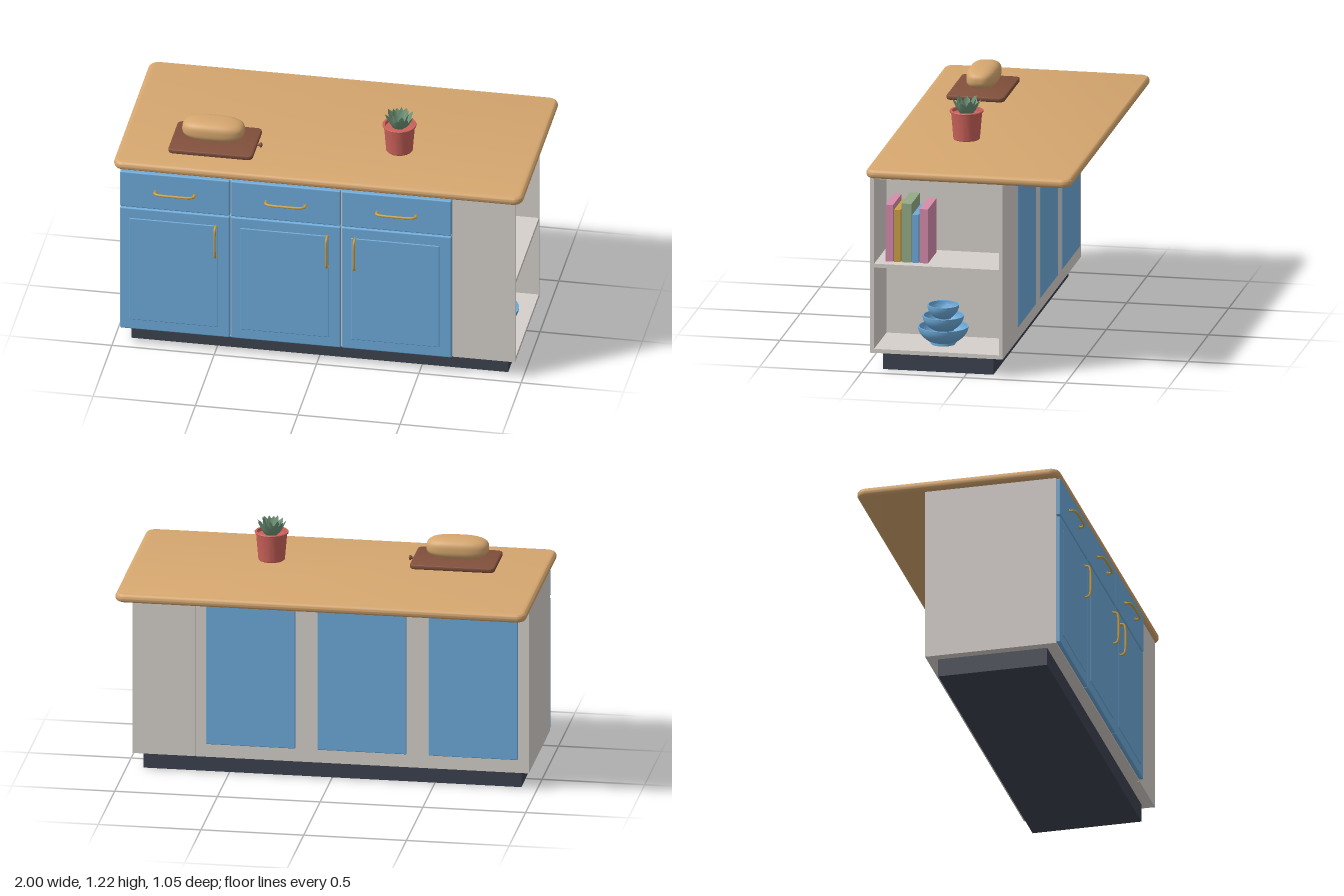
import * as THREE from 'three';
import { toCreasedNormals } from 'three/addons/utils/BufferGeometryUtils.js';
import { RoundedBoxGeometry } from 'three/addons/geometries/RoundedBoxGeometry.js';

function material(name, color, side = THREE.FrontSide) {
  const m = new THREE.MeshStandardMaterial({ color, side });
  m.name = name;
  return m;
}

// Horizontal slab with rounded plan corners and a rounded edge, standing on y = 0
function slabGeometry(w, d, h, r, bevel) {
  const x = w / 2 - bevel, y = d / 2 - bevel, c = r - bevel;
  const s = new THREE.Shape();
  s.absarc(x - c, y - c, c, 0, Math.PI / 2);
  s.absarc(-x + c, y - c, c, Math.PI / 2, Math.PI);
  s.absarc(-x + c, -y + c, c, Math.PI, Math.PI * 1.5);
  s.absarc(x - c, -y + c, c, Math.PI * 1.5, Math.PI * 2);
  s.closePath();
  const g = new THREE.ExtrudeGeometry(s, {
    depth: h - 2 * bevel, bevelEnabled: true, bevelSize: bevel,
    bevelThickness: bevel, bevelSegments: 5, curveSegments: 8,
  });
  g.translate(0, 0, bevel);
  g.rotateX(-Math.PI / 2);
  return toCreasedNormals(g, 0.7);
}

// Folded, outward-curving succulent leaf growing along +z
function leafGeometry(reach, height, width) {
  const pos = [], idx = [], n = 5;
  for (let i = 0; i <= n; i++) {
    const t = i / n;
    const w = width * (0.6 + 0.9 * t) * (1 - t ** 3);
    const z = reach * (0.4 + 0.6 * t ** 0.8), y = height * t ** 1.2;
    pos.push(-w, y + w * 0.15, z - w * 0.35, 0, y, z, w, y + w * 0.15, z - w * 0.35);
    if (i < n) for (let k = 0; k < 2; k++) {
      const a = i * 3 + k;
      idx.push(a, a + 1, a + 3, a + 1, a + 4, a + 3);
    }
  }
  const g = new THREE.BufferGeometry();
  g.setAttribute('position', new THREE.Float32BufferAttribute(pos, 3));
  g.setIndex(idx);
  g.computeVertexNormals();
  return g;
}

export function createModel() {
  const model = new THREE.Group();
  model.name = 'kitchenIsland';

  const grey = material('warmGrey', 0xd6d0cb);
  const blue = material('paintedBlue', 0x6dabdb);
  const bowlBlue = blue;
  const wood = material('lightWood', 0xd6a76f);
  const dark = material('plinthSlate', 0x3c424f);
  const gold = material('brass', 0xcba044);
  const brown = material('darkWood', 0x81503c);
  const clay = material('terracotta', 0xcb625a);
  const leafGreen = material('leafGreen', 0x6f9478, THREE.DoubleSide);
  const sage = material('sageCover', 0x93ab87);
  const pink = material('pinkCover', 0xd58cab);

  function add(name, geometry, mat, x = 0, y = 0, z = 0, parent = model) {
    const m = new THREE.Mesh(geometry, mat);
    m.name = name;
    m.position.set(x, y, z);
    parent.add(m);
    return m;
  }
  // Box given by its limits, optionally with rounded edges
  function box(name, mat, x0, x1, y0, y1, z0, z1, r = 0) {
    const w = x1 - x0, h = y1 - y0, d = z1 - z0;
    const g = r ? new RoundedBoxGeometry(w, h, d, 2, r) : new THREE.BoxGeometry(w, h, d);
    return add(name, g, mat, (x0 + x1) / 2, (y0 + y1) / 2, (z0 + z1) / 2);
  }

  // Carcass, plinth and worktop
  box('plinth', dark, -0.92, 0.92, 0, 0.09, -0.13, 0.41);
  box('cabinetBody', grey, -0.965, 0.658, 0.09, 0.966, -0.184, 0.466);
  add('worktop', slabGeometry(2, 1.008, 0.043, 0.05, 0.02), wood, 0, 0.964, -0.018);

  // Open shelf unit at the end
  box('shelfFrontPanel', grey, 0.66, 0.965, 0.09, 0.966, 0.446, 0.466);
  box('shelfBackPanel', grey, 0.66, 0.965, 0.09, 0.966, -0.184, -0.165);
  box('shelfFloor', grey, 0.658, 0.964, 0.09, 0.11, -0.165, 0.446);
  box('middleShelf', grey, 0.658, 0.964, 0.515, 0.534, -0.165, 0.446);
  box('shelfCeiling', grey, 0.658, 0.964, 0.956, 0.966, -0.165, 0.446);

  // Bow handle standing out along +z, running along x
  const handleCurve = new THREE.CatmullRomCurve3(
    [[-0.085, 0], [-0.085, 0.016], [-0.076, 0.026], [-0.05, 0.031], [0, 0.032],
      [0.05, 0.031], [0.076, 0.026], [0.085, 0.016], [0.085, 0]]
      .map(([x, z]) => new THREE.Vector3(x, 0, z)));
  const handleTube = new THREE.TubeGeometry(handleCurve, 40, 0.006, 8);
  const handleFoot = new THREE.CylinderGeometry(0.009, 0.009, 0.006, 12).rotateX(Math.PI / 2);
  function handle(name, x, y, vertical, scale) {
    const g = new THREE.Group();
    g.name = name;
    add('bow', handleTube, gold, 0, 0, 0, g);
    for (const s of [-1, 1]) add('foot', handleFoot, gold, s * 0.085, 0, 0.002, g);
    g.position.set(x, y, 0.487);
    g.scale.x = scale;
    if (vertical) g.rotation.z = Math.PI / 2;
    model.add(g);
  }

  // Three bays: drawer, door with raised field, and matching back panel
  [[-0.695, -0.495], [-0.153, 0.05], [0.388, 0.185]].forEach(([cx, hx], i) => {
    const n = i + 1;
    box('drawer' + n, blue, cx - 0.268, cx + 0.268, 0.768, 0.961, 0.464, 0.488, 0.006);
    box('door' + n, blue, cx - 0.268, cx + 0.268, 0.094, 0.762, 0.464, 0.487, 0.006);
    box('doorField' + n, blue, cx - 0.222, cx + 0.21, 0.148, 0.708, 0.48, 0.491, 0.004);
    box('backPanel' + n, blue, cx - 0.217, cx + 0.217, 0.156, 0.895, -0.191, -0.18, 0.004);
    handle('drawerHandle' + n, cx, 0.864, false, 1.12);
    handle('doorHandle' + n, hx, 0.623, true, 0.95);
  });

  // Books on the middle shelf: front z, back z, top y
  [[0.401, 0.364, 0.816, pink], [0.359, 0.328, 0.793, gold], [0.323, 0.274, 0.826, sage],
    [0.27, 0.24, 0.772, blue], [0.235, 0.193, 0.803, pink]].forEach(([z1, z0, top, mat], i) =>
    box('book' + (i + 1), mat, 0.7, 0.91, 0.534, top, z0, z1));

  // Stacked bowls: rim radius, foot radius, bottom y, rim y
  [[0.122, 0.066, 0.12, 0.198], [0.1, 0.052, 0.178, 0.252], [0.077, 0.04, 0.238, 0.305]]
    .forEach(([R, r, y0, y1], i) => {
      const pts = [[0, 0], [r, 0]];
      const curve = t => [r + (R - r) * Math.sin(t * Math.PI / 2), (y1 - y0) * (0.06 + 0.94 * t ** 1.25)];
      for (let k = 0; k <= 8; k++) pts.push(curve(k / 8));
      for (let k = 8; k >= 0; k--) {
        const [x, y] = curve(k / 8);
        pts.push([x - 0.007, y + 0.004 * (1 - k / 8)]);
      }
      pts.push([0, 0.008]);
      const g = new THREE.LatheGeometry(pts.map(p => new THREE.Vector2(...p)), 40);
      add('bowl' + (i + 1), toCreasedNormals(g, 0.7), bowlBlue, 0.8, y0, 0.14);
    });
  add('bowlFoot', new THREE.CylinderGeometry(0.06, 0.06, 0.012, 32), blue, 0.8, 0.115, 0.14);

  // Cutting board with peg, and a loaf
  add('cuttingBoard', slabGeometry(0.412, 0.284, 0.023, 0.025, 0.006), brown, -0.548, 1.007, 0.213);
  const peg = add('boardPeg', new THREE.CylinderGeometry(0.006, 0.006, 0.03, 12), brown, -0.334, 1.018, 0.213);
  peg.rotation.z = Math.PI / 2;
  add('boardKnob', new THREE.SphereGeometry(0.013, 16, 12), brown, -0.325, 1.018, 0.213).scale.x = 0.6;

  const loaf = new THREE.SphereGeometry(1, 40, 28);
  const p = loaf.attributes.position;
  const puff = (v, e) => Math.sign(v) * Math.abs(v) ** e;
  for (let i = 0; i < p.count; i++) {
    const v = new THREE.Vector3().fromBufferAttribute(p, i);
    // Push the sphere outwards to a squarer, loaf-like form
    const k = (Math.abs(v.x) ** 2.9 + Math.abs(v.y) ** 2.9 + Math.abs(v.z) ** 2.9) ** (-1 / 2.9);
    p.setXYZ(i, puff(v.x * k, 1) * 0.151, v.y * k * 0.052, v.z * k * 0.075);
  }
  loaf.computeVertexNormals();
  add('breadLoaf', loaf, wood, -0.556, 1.087, 0.211);

  // Flower pot with a lip and a closed top
  const pot = new THREE.LatheGeometry([[0, 0], [0.06, 0], [0.064, 0.004], [0.075, 0.134],
    [0.081, 0.136], [0.082, 0.141], [0.08, 0.144], [0.07, 0.144], [0.067, 0.128], [0, 0.128]]
    .map(q => new THREE.Vector2(...q)), 40);
  add('flowerPot', toCreasedNormals(pot, 0.6), clay, 0.335, 1.006, 0.118);

  // Succulent: two rings of leaves
  const plant = new THREE.Group();
  plant.name = 'succulent';
  plant.position.set(0.335, 1.133, 0.118);
  model.add(plant);
  [[9, 0.071, 0.07, 0.022, 0], [7, 0.05, 0.08, 0.017, 0.4]].forEach(([n, reach, h, w, turn]) => {
    const g = leafGeometry(reach, h, w);
    for (let i = 0; i < n; i++) {
      const leaf = add('leaf', g, leafGreen, 0, 0, 0, plant);
      leaf.rotation.y = turn + i / n * Math.PI * 2;
      leaf.scale.y = 1 + 0.06 * Math.sin(i * 2.3);
    }
  });

  return model;
}
